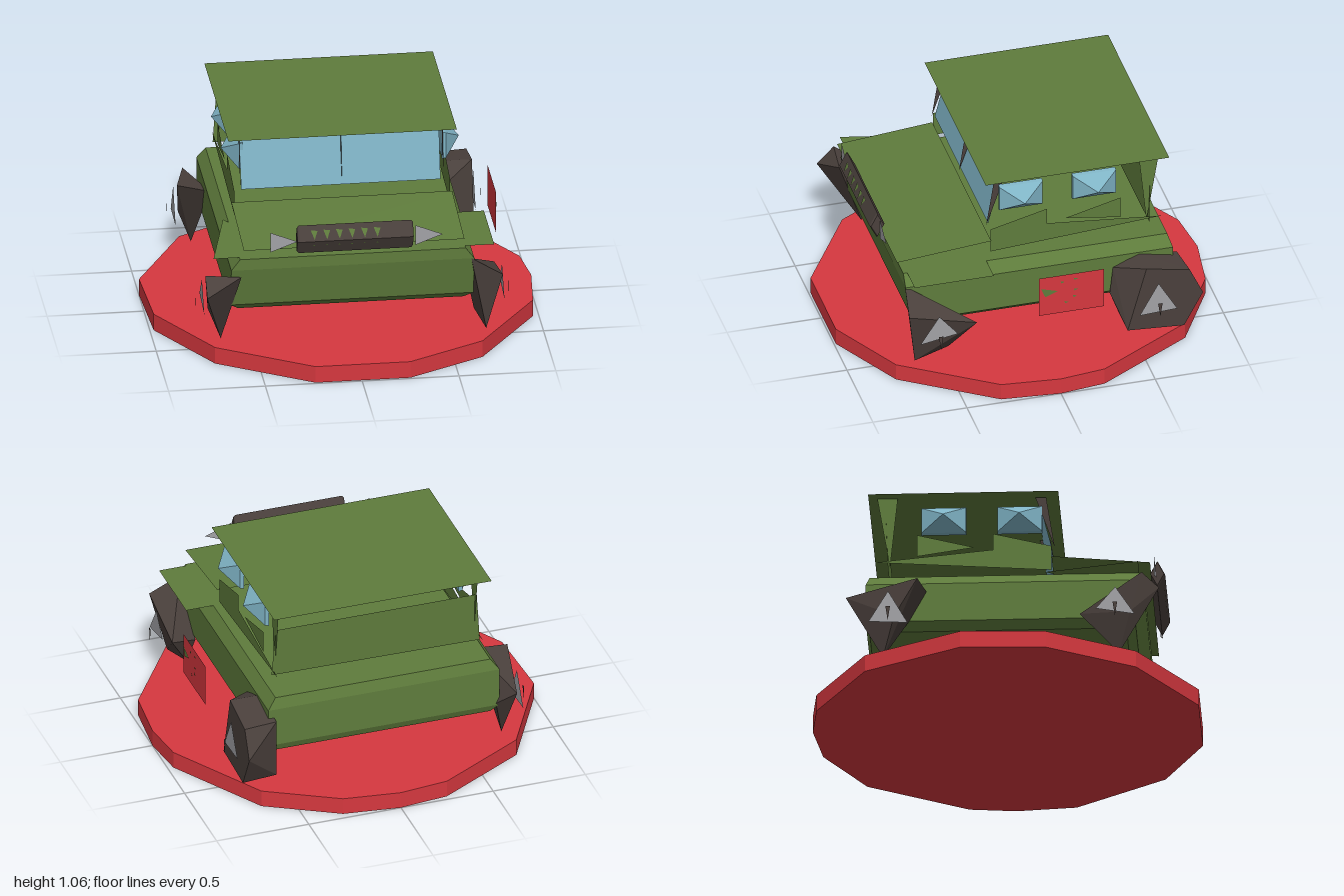
import * as THREE from 'three';
import { ConvexGeometry } from 'three/addons/geometries/ConvexGeometry.js';

const paint = (name, color) => {
  const m = new THREE.MeshStandardMaterial({ color, side: THREE.DoubleSide });
  m.name = name;
  return m;
};

export function createModel() {
  const model = new THREE.Group();
  model.name = 'offRoadCar';
  const green = paint('olive green', 0x5f7c3c);
  const red = paint('red', 0xd6383f);
  const blue = paint('window blue', 0x7fb3c5);
  const dark = paint('dark brown', 0x4a403c);
  const grey = paint('light grey', 0xa2a2a6);

  const add = (name, geometry, material) => {
    const mesh = new THREE.Mesh(geometry, material);
    mesh.name = name;
    model.add(mesh);
    return mesh;
  };
  // solid facetted block around a few corners
  const hull = (name, pts, material) =>
    add(name, new ConvexGeometry(pts.map(p => new THREE.Vector3(...p))), material);
  // thin open polygon, fanned from its first corner
  const sheet = (name, pts, material) => {
    const v = [];
    for (let i = 1; i < pts.length - 1; i++) v.push(...pts[0], ...pts[i], ...pts[i + 1]);
    const g = new THREE.BufferGeometry();
    g.setAttribute('position', new THREE.Float32BufferAttribute(v, 3));
    g.computeVertexNormals();
    return add(name, g, material);
  };
  // polygon given as [z, y] standing at one x
  const sideSheet = (name, x, pts, material) => {
    const corners = pts.map(([z, y]) => [x, y, z]);
    return sheet(name, x > 0 ? corners.reverse() : corners, material);
  };

  // base disc with an uneven rim
  const rim = [[-0.26, -0.97], [0, -1], [0.3, -0.96], [0.67, -0.75], [0.97, -0.24], [1, 0], [0.97, 0.31],
    [0.65, 0.78], [0.25, 0.99], [-0.24, 0.99], [-0.72, 0.69], [-0.98, 0.24], [-1, -0.2], [-0.73, -0.7]];
  hull('baseDisc', rim.flatMap(([x, z]) => [[x, 0, z], [x, 0.09, z]]), red);

  // chamfered lower body
  const body = [];
  for (const [y, inset] of [[0.59, 0.045], [0.53, 0], [0.32, 0], [0.28, 0.045]])
    for (const x of [-0.64 + inset, 0.615 - inset])
      for (const z of [-0.7 + inset * 0.4, y < 0.4 ? 0.68 - inset : 0.72]) body.push([x, y, z]);
  hull('body', body, green);

  // hood and fenders
  sheet('hood', [[-0.58, 0.655, 0.755], [0.56, 0.655, 0.75], [0.56, 0.7, 0.25], [-0.58, 0.7, 0.25]], green);
  sheet('leftFender', [[0.56, 0.593, 0.7], [0.72, 0.593, 0.7], [0.72, 0.593, 0.28], [0.56, 0.593, 0.28]], green);
  sheet('rightFender', [[-0.73, 0.593, 0.7], [-0.58, 0.593, 0.7], [-0.58, 0.593, 0.28], [-0.62, 0.593, 0.22]], green);

  // cabin: roof, back panel, then the sides
  sheet('roof', [[-0.6, 1.06, 0.285], [0.58, 1.06, 0.285], [0.58, 1.06, -0.69], [-0.6, 1.06, -0.69]], green);
  sheet('backPanel', [[0.56, 0.67, -0.59], [-0.57, 0.66, -0.59], [-0.55, 0.94, -0.6], [0.54, 0.94, -0.6]], green);
  for (const s of [-1, 1]) {
    const x = s > 0 ? 0.55 : -0.565;
    sideSheet('sidePanel', x, [[0.25, 0.63], [-0.66, 0.69], [-0.05, 0.75], [-0.05, 0.84], [0.25, 0.765]], green);
    sideSheet('rearSidePanel', x, [[-0.145, 0.765], [-0.44, 0.72], [-0.44, 0.84]], green);
    sideSheet('rearPost', s * 0.54, [[-0.54, 1.06], [-0.58, 0.67], [-0.645, 1.06]], green);
    // pointed side windows
    for (const z of [0.085, -0.305]) {
      const pts = [[s * 0.615, 0.935, z]];
      for (const dy of [-0.075, 0.075])
        for (const dz of [-0.115, 0.115]) {
          pts.push([s * 0.535, 0.935 + dy * 0.93, z + dz]);
          pts.push([s * 0.515, 0.935 + dy, z + dz]);
        }
      hull('sideWindow', pts, blue);
    }
  }

  // windshield with frame slivers
  sheet('windshield', [[-0.53, 0.77, 0.25], [0.5, 0.77, 0.25], [0.5, 1.05, 0.18], [-0.53, 1.05, 0.18]], blue);
  for (const x of [-0.535, -0.01, 0.515])
    sideSheet('windshieldPost', x, [[0.22, 1.055], [0.165, 1.055], [0.265, 0.77]], dark);

  // grille bar with slots and pointed lamps
  const bar = [];
  for (const [x, k] of [[-0.31, 0.85], [-0.3, 1], [0.28, 1], [0.29, 0.85]])
    bar.push([x, 0.715 + 0.077 * k, 0.78], [x, 0.715 - 0.077 * k, 0.78],
      [x, 0.715, 0.78 + 0.04 * k], [x, 0.715, 0.78 - 0.04 * k]);
  hull('grille', bar, dark);
  for (let i = 0; i < 6; i++) {
    const x = -0.23 + i * 0.065;
    sheet('grilleSlot', [[x - 0.01, 0.77, 0.796], [x + 0.008, 0.725, 0.819], [x + 0.025, 0.765, 0.798]], green);
    sheet('grilleDot', [[x, 0.688, 0.81], [x + 0.014, 0.688, 0.81], [x + 0.007, 0.696, 0.815]], green);
  }
  for (const x of [-0.445, 0.305])
    sheet('headlamp', [[x, 0.645, 0.77], [x + 0.14, 0.7, 0.775], [x, 0.755, 0.77]], grey);

  // chunky wheels
  hull('rearLeftWheel', [[0.76, 0.52, -0.52], [0.76, 0.476, -0.75], [0.76, 0.326, -0.82], [0.76, 0.16, -0.42],
    [0.76, 0.14, -0.72], [0.62, 0.465, -0.38], [0.63, 0.32, -0.36], [0.58, 0.476, -0.73],
    [0.57, 0.14, -0.7], [0.58, 0.16, -0.42], [0.61, 0.52, -0.52]], dark);
  hull('frontLeftWheel', [[0.6, 0.53, 0.72], [0.76, 0.44, 0.74], [0.76, 0.35, 0.38], [0.68, 0.12, 0.69],
    [0.64, 0.15, 0.5], [0.61, 0.3, 0.45]], dark);
  hull('frontRightWheel', [[-0.775, 0.51, 0.72], [-0.775, 0.42, 0.81], [-0.59, 0.5, 0.74], [-0.69, 0.32, 0.4],
    [-0.68, 0.1, 0.6], [-0.62, 0.33, 0.6], [-0.755, 0.3, 0.66]], dark);
  hull('rearRightWheel', [[-0.7, 0.43, -0.8], [-0.775, 0.5, -0.43], [-0.61, 0.48, -0.38], [-0.68, 0.1, -0.61],
    [-0.62, 0.33, -0.7], [-0.755, 0.3, -0.55]], dark);

  // flat hub plates with small caps
  for (const s of [-1, 1])
    for (const z of [0.585, -0.58]) {
      const tilt = z > 0 ? 0.025 : 0;
      sideSheet('hub', s * 0.775, [[z, 0.43], [z + 0.1, 0.26 + tilt - 0.01], [z - 0.1, 0.26 + tilt * 2]], grey);
      sideSheet('hubCap', s * 0.81, [[z + 0.012, 0.33], [z - 0.012, 0.33], [z, 0.25]], dark);
    }

  // side sign with small flecks
  sideSheet('sidePlate', 0.81, [[0.065, 0.595], [0.065, 0.367], [-0.28, 0.367], [-0.28, 0.595]], red);
  const flecks = [[0.01, 0.505, 0.045], [-0.06, 0.555, 0.012], [-0.13, 0.565, 0.012], [-0.13, 0.5, 0.012],
    [-0.08, 0.43, 0.012], [-0.125, 0.46, 0.012]];
  for (const [z, y, r] of flecks)
    sideSheet('plateFleck', 0.814, [[z + r, y + r * 0.6], [z + r * 0.5, y - r * 0.6], [z - r, y]], green);

  return model;
}
